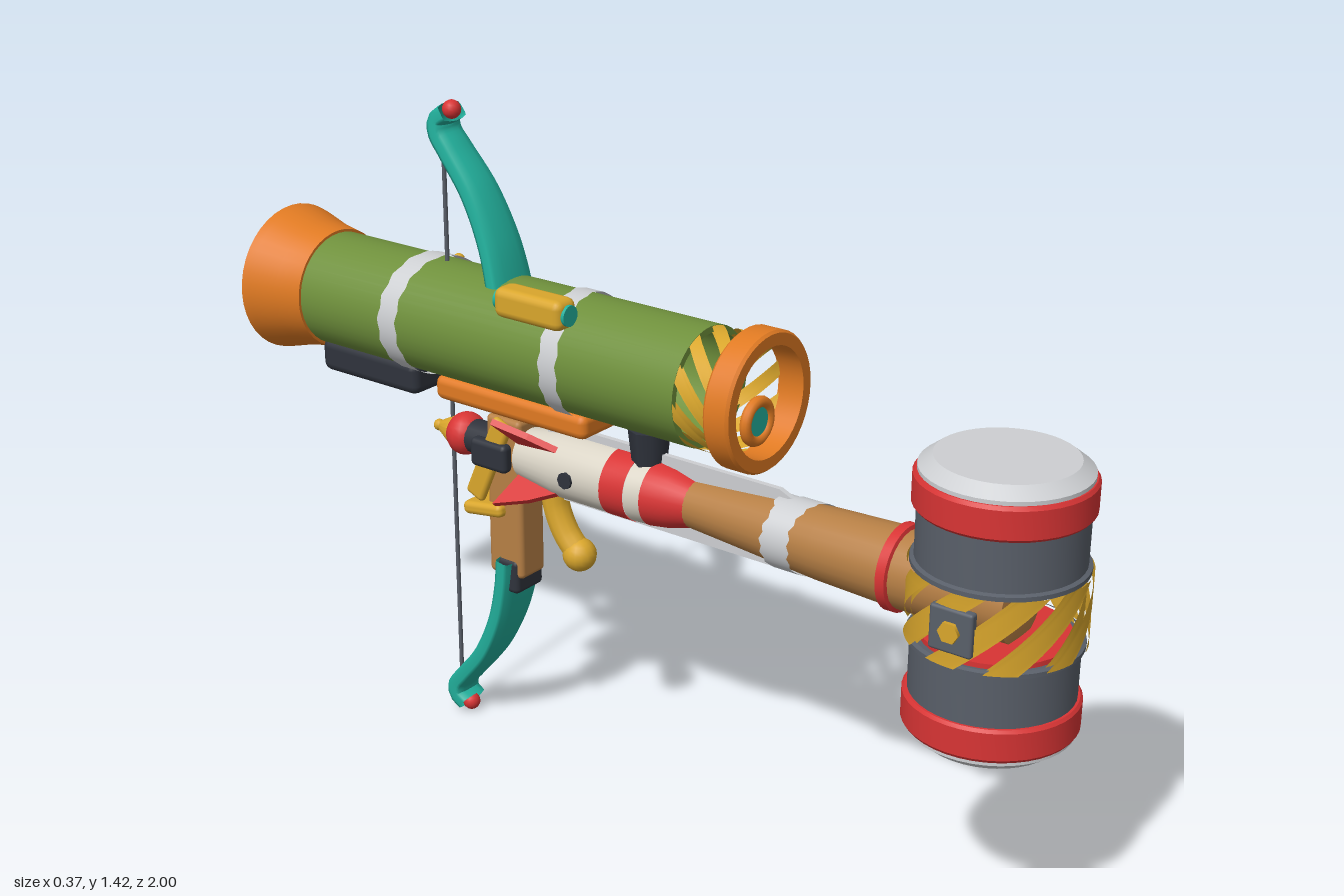
import * as THREE from 'three';
import { toCreasedNormals, mergeGeometries } from 'three/addons/utils/BufferGeometryUtils.js';
import { RoundedBoxGeometry } from 'three/addons/geometries/RoundedBoxGeometry.js';

const mat = (name, color, side = THREE.FrontSide) => {
  const m = new THREE.MeshStandardMaterial({ color, side });
  m.name = name;
  return m;
};

export function createModel() {
  const D = THREE.DoubleSide;
  const green = mat('olive green', 0x6f903c, D), orange = mat('orange', 0xe07a22, D);
  const teal = mat('teal', 0x22b09c, D), red = mat('red', 0xd83434, D);
  const slate = mat('slate grey', 0x595f69), dark = mat('charcoal', 0x2f333c);
  const yellow = mat('golden yellow', 0xd9a62c, D), brown = mat('wood brown', 0xb67f45);
  const light = mat('light grey', 0xcdcfd2, D), cream = mat('cream', 0xdad4c6);

  const model = new THREE.Group();
  const add = (name, geo, m, x = 0, y = 0, z = 0, parent = model) => {
    const mesh = new THREE.Mesh(geo, m);
    mesh.name = name;
    mesh.position.set(x, y, z);
    parent.add(mesh);
    return mesh;
  };
  const group = (name, y, z) => {
    const g = new THREE.Group();
    g.name = name;
    g.position.set(0, y, z);
    model.add(g);
    return g;
  };
  // Turned solid about y; pairs are [radius, height], listed upwards
  const turned = (pts, seg = 40) =>
    toCreasedNormals(new THREE.LatheGeometry(pts.map(p => new THREE.Vector2(...p)), seg), 0.6);
  // The same, lying along z
  const turnedZ = (pts, seg) => turned(pts, seg).rotateX(Math.PI / 2);
  const box = (w, h, d, r = 0.012) => new RoundedBoxGeometry(w, h, d, 2, r);
  // Ring of slanted strips wrapped round a cylinder
  const lattice = (r, h, n, width, twist) => {
    const strips = [];
    for (let i = 0; i < n; i++) for (const rr of [r, r - 0.012]) {
      const g = new THREE.CylinderGeometry(rr, rr, h, 5, 8, true, i / n * Math.PI * 2, width);
      const p = g.attributes.position;
      for (let k = 0; k < p.count; k++) {
        const a = Math.atan2(p.getX(k), p.getZ(k)) + twist * p.getY(k) / h;
        p.setX(k, rr * Math.sin(a));
        p.setZ(k, rr * Math.cos(a));
      }
      g.computeVertexNormals();
      strips.push(g);
    }
    return mergeGeometries(strips);
  };
  // Ragged tape wound round a tube lying along z, slanted across x
  const tape = (r, w, slant) => {
    const g = new THREE.CylinderGeometry(r, r, w, 64, 1, true).rotateX(Math.PI / 2);
    const p = g.attributes.position;
    for (let k = 0; k < p.count; k++) {
      const a = Math.atan2(p.getY(k), p.getX(k));
      p.setZ(k, p.getZ(k) + slant * p.getX(k) / r + 0.003 * Math.sin(a * 16));
    }
    return g;
  };

  // Hammer head
  const head = group('hammerHead', 0.687, 0.83);
  for (const s of [1, -1]) {
    const half = new THREE.Group();
    half.name = s > 0 ? 'upperHead' : 'lowerHead';
    if (s < 0) half.rotation.x = Math.PI;
    head.add(half);
    add('drum', turned([[0, 0.075], [0.16, 0.075], [0.16, 0.2]]), slate, 0, 0, 0, half);
    add('drumRim', turned([[0.16, 0.07], [0.168, 0.073], [0.168, 0.082], [0.16, 0.085]]), slate, 0, 0, 0, half);
    add('innerDisc', new THREE.CylinderGeometry(0.145, 0.145, 0.01, 40), red, 0, 0.07, 0, half);
    add('redBand', turned([[0.158, 0.188], [0.165, 0.188], [0.17, 0.194], [0.17, 0.25], [0.165, 0.257], [0.15, 0.257]]),
      red, 0, 0, 0, half);
    add('cap', turned([[0.162, 0.255], [0.162, 0.265], [0.135, 0.286], [0, 0.286]]), light, 0, 0, 0, half);
    // Side plate with bolt
    add('sidePlate', box(0.02, 0.09, 0.09, 0.006), slate, s * 0.166, 0, 0, head);
    add('sideBolt', new THREE.CylinderGeometry(0.022, 0.022, 0.012, 6).rotateZ(Math.PI / 2), yellow, s * 0.178, 0, 0, head);
  }
  add('headLattice', lattice(0.172, 0.15, 9, 0.38, 1.0), yellow, 0, 0, 0, head);

  // Wooden handle, collar and wrapping
  const handle = group('handle', 0.69, 0);
  add('shaft', turnedZ([[0, 0.05], [0.048, 0.05], [0.05, 0.12], [0.057, 0.22], [0.066, 0.34],
    [0.074, 0.45], [0.08, 0.62], [0.08, 0.88], [0, 0.89]], 24), brown, 0, 0, 0, handle);
  add('collar', turnedZ([[0.07, 0.61], [0.088, 0.615], [0.088, 0.635], [0.07, 0.64]], 32), red, 0, 0, 0, handle);
  add('wrapA', tape(0.075, 0.06, 0.022), light, 0, 0, 0.395, handle);
  add('wrapB', tape(0.073, 0.05, -0.022), light, 0, 0, 0.36, handle);

  // Thin blade running through the handle
  const bladeShape = new THREE.Shape([[-0.25, -0.082], [0.4, -0.082], [0.48, -0.04], [0.45, 0.04],
    [0.34, 0.088], [-0.25, 0.088]].map(p => new THREE.Vector2(...p)));
  add('blade', new THREE.ExtrudeGeometry(bladeShape, { depth: 0.012, bevelEnabled: false })
    .translate(0, 0, -0.006).rotateY(-Math.PI / 2), light, 0, 0, 0, handle);

  // Rocket
  const rocket = group('rocket', 0.69, 0);
  add('rocketTail', turnedZ([[0, -0.31], [0.056, -0.31], [0.072, -0.2], [0.072, -0.06]], 28), cream, 0, 0, 0, rocket);
  add('rocketBand', turnedZ([[0.073, -0.062], [0.073, 0]], 28), red, 0, 0, 0, rocket);
  add('rocketRing', turnedZ([[0.072, 0], [0.07, 0.04]], 28), cream, 0, 0, 0, rocket);
  add('rocketNose', turnedZ([[0.071, 0.04], [0.064, 0.09], [0.047, 0.15], [0, 0.15]], 28), red, 0, 0, 0, rocket);
  const finShape = new THREE.Shape([[-0.17, 0.06], [-0.25, 0.105], [-0.33, 0.135], [-0.3, 0.05]]
    .map(p => new THREE.Vector2(...p)));
  const finGeo = new THREE.ExtrudeGeometry(finShape, { depth: 0.014, bevelEnabled: false })
    .translate(0, 0, -0.007).rotateY(-Math.PI / 2);
  for (let i = 0; i < 4; i++) add('fin', finGeo, red, 0, 0, 0, rocket).rotation.z = Math.PI / 4 + i * Math.PI / 2;
  for (const s of [1, -1])
    add('rocketBolt', new THREE.CylinderGeometry(0.018, 0.018, 0.012, 8).rotateZ(Math.PI / 2), dark, s * 0.072, 0, -0.15, rocket);

  // Hilt with tilted guard, and pommel
  const hilt = group('hilt', 0.69, 0);
  add('hiltGrip', turnedZ([[0, -0.47], [0.038, -0.47], [0.038, -0.28], [0, -0.28]], 16), dark, 0, 0, 0, hilt);
  for (const s of [1, -1]) {
    const side = add('guardSide', box(0.02, 0.21, 0.05), yellow, s * 0.055, -0.015, -0.375, hilt);
    side.rotation.x = 0.42;
    add('guardBlock', box(0.03, 0.065, 0.1), dark, s * 0.06, 0, -0.365, hilt);
  }
  add('guardFoot', box(0.12, 0.03, 0.11), yellow, 0, -0.14, -0.4, hilt).rotation.x = -0.15;
  add('pommel', new THREE.SphereGeometry(0.048, 16, 12).scale(1, 1, 0.9), red, 0, 0, -0.488, hilt);
  add('pommelCap', turnedZ([[0, -0.56], [0.014, -0.558], [0.034, -0.52], [0.034, -0.5]], 16), yellow, 0, 0, 0, hilt);
  add('pommelTip', new THREE.SphereGeometry(0.013, 10, 8), yellow, 0, 0, -0.568, hilt);

  // Curved hooked grip under the rocket
  const hook = new THREE.CatmullRomCurve3([[0.64, -0.24], [0.585, -0.235], [0.53, -0.21], [0.49, -0.175]]
    .map(([y, z]) => new THREE.Vector3(0, y, z)));
  add('hookGrip', new THREE.TubeGeometry(hook, 16, 0.03, 12), yellow);
  add('hookEnd', new THREE.SphereGeometry(0.037, 16, 12), yellow, 0, 0.488, -0.173);

  // Bow: stock, mirrored limbs and string
  const bow = group('bow', 0.715, 0);
  add('stock', box(0.08, 0.37, 0.095), brown, 0, -0.13, -0.35, bow);
  const limbPath = new THREE.CatmullRomCurve3([[0.275, -0.345], [0.34, -0.355], [0.43, -0.38], [0.53, -0.43],
    [0.61, -0.495], [0.645, -0.522], [0.672, -0.522], [0.688, -0.5]].map(([y, z]) => new THREE.Vector3(0, y, z)));
  const limbGeo = new THREE.TubeGeometry(limbPath, 40, 0.022, 16);
  const lp = limbGeo.attributes.position;
  for (let k = 0; k < lp.count; k++) {
    const w = THREE.MathUtils.mapLinear(lp.getY(k), 0.28, 0.69, 0.062, 0.034);
    lp.setX(k, THREE.MathUtils.clamp(lp.getX(k) / 0.022 * 1.35, -1, 1) * w);
  }
  limbGeo.computeVertexNormals();
  for (const s of [1, -1]) {
    const half = new THREE.Group();
    half.name = s > 0 ? 'upperLimb' : 'lowerLimb';
    half.scale.y = s;
    bow.add(half);
    add('limb', limbGeo, teal, 0, 0, 0, half);
    add('limbClamp', box(0.09, 0.08, 0.06), dark, 0, 0.312, -0.343, half);
    add('limbTip', new THREE.SphereGeometry(0.02, 14, 10), red, 0, 0.692, -0.5, half);
  }
  add('string', new THREE.CylinderGeometry(0.005, 0.005, 1.28, 6), slate, 0, 0, -0.527, bow);

  // Launcher tube, open at both ends
  const launcher = group('launcher', 0.95, 0);
  add('tube', turnedZ([[0.112, -0.86], [0.126, -0.86], [0.126, 0.165], [0.112, 0.165], [0.112, -0.86]]), green, 0, 0, 0, launcher);
  add('flare', turnedZ([[0.118, -0.85], [0.15, -0.985], [0.158, -1], [0.164, -0.995], [0.16, -0.975],
    [0.142, -0.91], [0.132, -0.85], [0.118, -0.85]]), orange, 0, 0, 0, launcher);
  add('frontRing', turnedZ([[0.115, 0.25], [0.14, 0.25], [0.145, 0.256], [0.145, 0.304], [0.14, 0.31],
    [0.115, 0.31], [0.115, 0.25]]), orange, 0, 0, 0, launcher);
  add('frontLattice', lattice(0.125, 0.1, 10, 0.3, 0.85).rotateX(Math.PI / 2), yellow, 0, 0, 0.205, launcher);
  add('rearTape', tape(0.131, 0.05, 0.018), light, 0, 0, -0.57, launcher);
  add('frontTape', tape(0.131, 0.045, -0.014), light, 0, 0, -0.16, launcher);
  add('rivet', new THREE.SphereGeometry(0.013, 10, 8), yellow, 0.094, 0.095, -0.58, launcher);

  // Small lens inside the front ring
  add('lensRing', new THREE.TorusGeometry(0.04, 0.012, 10, 28), orange, 0, -0.045, 0.28, launcher);
  add('lens', new THREE.CylinderGeometry(0.036, 0.036, 0.02, 24).rotateX(Math.PI / 2), teal, 0, -0.045, 0.275, launcher);

  // Side sight
  add('sight', box(0.062, 0.064, 0.175, 0.018), yellow, -0.118, 0.125, -0.185, launcher);
  for (const z of [-0.096, -0.274])
    add('sightLens', new THREE.CylinderGeometry(0.022, 0.022, 0.008, 20).rotateX(Math.PI / 2), teal, -0.118, 0.125, z, launcher);

  // Mounts under the tube
  add('mountRail', box(0.12, 0.055, 0.415, 0.018), orange, 0, -0.143, -0.317, launcher);
  add('rearBlock', box(0.14, 0.075, 0.285, 0.02), dark, 0, -0.138, -0.712, launcher);
  add('frontClamp', new THREE.CylinderGeometry(0.045, 0.036, 0.08, 8), dark, 0, -0.165, 0.015, launcher);

  return model;
}
